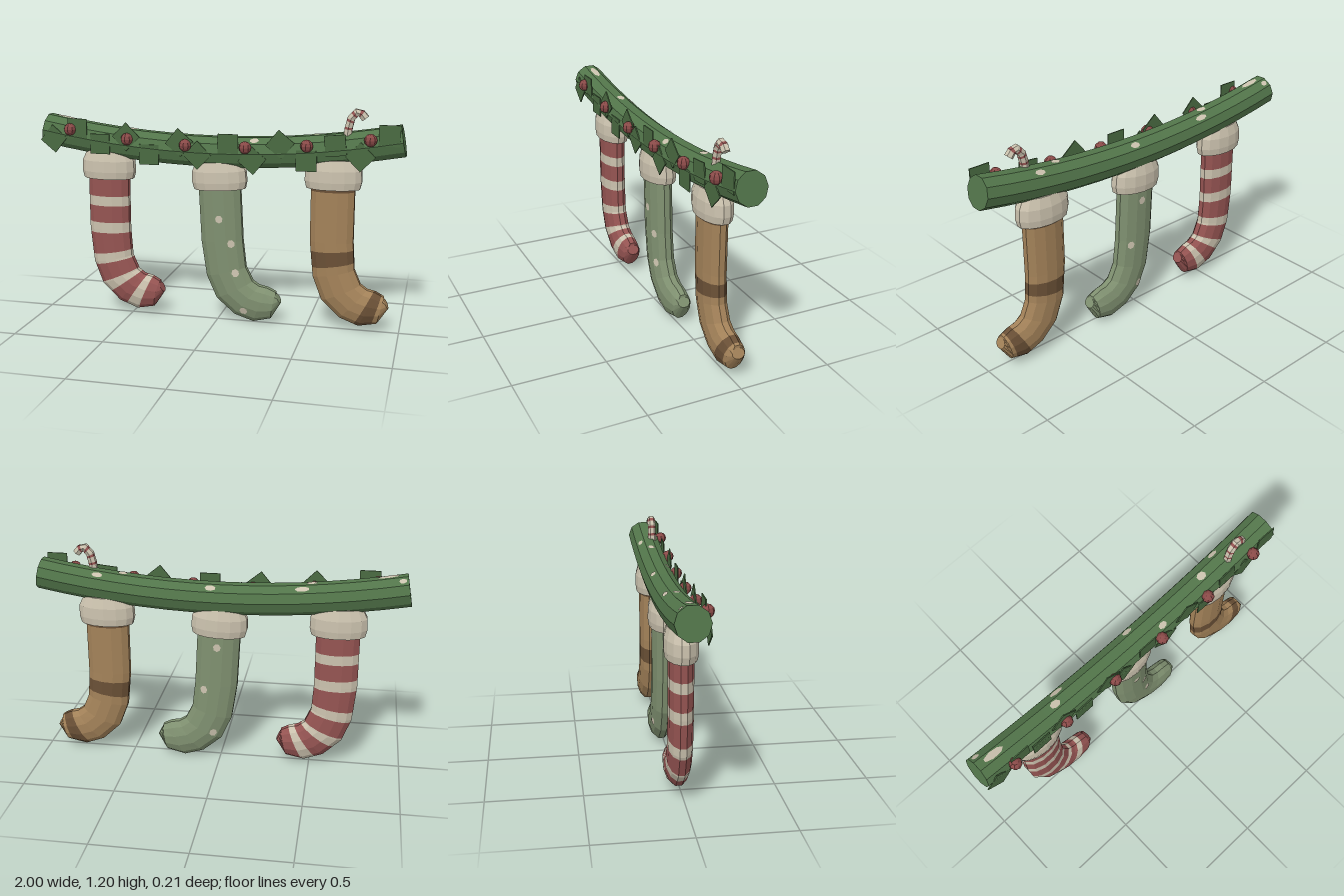
import * as THREE from 'three';

const mat = (name, color) => Object.assign(new THREE.MeshStandardMaterial({ color, flatShading: true }), { name });
const M = {
  green: mat('garland green', 0x52754a),
  leaf: mat('leaf green', 0x4a6b42),
  red: mat('faded red', 0x955452),
  berry: mat('berry red', 0x8a4a48),
  cream: mat('cream', 0xcbc2ae),
  sage: mat('sage', 0x7f9070),
  tan: mat('tan', 0xa38259),
  brown: mat('dark brown', 0x6a5036),
};
const Z = -0.02; // depth of the garland's centre line

// A ring is [outerX, outerY, innerX, innerY, halfDepth]; distance runs along ring centres.
function distances(rings) {
  const out = [0];
  for (let i = 1; i < rings.length; i++) {
    const [a, b] = [rings[i - 1], rings[i]];
    out.push(out[i - 1] + Math.hypot(b[0] + b[2] - a[0] - a[2], b[1] + b[3] - a[1] - a[3]) / 2);
  }
  return out;
}

function ringAt(rings, s) {
  const d = distances(rings);
  let i = 1;
  while (i < d.length - 1 && d[i] < s) i++;
  const k = (s - d[i - 1]) / (d[i] - d[i - 1]);
  return rings[i].map((v, j) => THREE.MathUtils.lerp(rings[i - 1][j], v, k));
}

function ringPoint([ox, oy, ix, iy, depth], a, z) {
  const c = Math.cos(a) / 2;
  return new THREE.Vector3((ox + ix) / 2 + c * (ix - ox), (oy + iy) / 2 + c * (iy - oy), z + Math.sin(a) * depth);
}

// Closed faceted skin through the rings; bands are [start, end] stretches in the second colour.
function loft(name, rings, sides, z, base, stripe = base, bands = []) {
  const cuts = [...new Set([...distances(rings), ...bands.flat()])].sort((a, b) => a - b);
  const loops = cuts.map(s => Array.from({ length: sides }, (_, k) =>
    ringPoint(ringAt(rings, s), ((k + 0.5) / sides) * Math.PI * 2, z)));
  const faces = [[], []];
  for (let i = 0; i < cuts.length - 1; i++) {
    const mid = (cuts[i] + cuts[i + 1]) / 2;
    const list = faces[bands.some(([a, b]) => mid > a && mid < b) ? 1 : 0];
    for (let k = 0; k < sides; k++) {
      const n = (k + 1) % sides;
      const [a, b, c, d] = [loops[i][k], loops[i][n], loops[i + 1][n], loops[i + 1][k]];
      list.push(a, b, c, a, c, d);
    }
  }
  const first = loops[0], last = loops[loops.length - 1];
  for (let k = 1; k < sides - 1; k++) {
    faces[0].push(first[0], first[k + 1], first[k], last[0], last[k], last[k + 1]);
  }
  const geo = new THREE.BufferGeometry().setFromPoints([...faces[0], ...faces[1]]);
  geo.addGroup(0, faces[0].length, 0);
  geo.addGroup(faces[0].length, faces[1].length, 1);
  geo.computeVertexNormals();
  const mesh = new THREE.Mesh(geo, [base, stripe]);
  mesh.name = name;
  return mesh;
}

// Thin patch lying on the middle of one facet.
function patch(name, rings, sides, z, s, facet, w, h, material) {
  const a = ((facet + 0.5) / sides) * Math.PI * 2, b = a + (Math.PI * 2) / sides;
  const mid = t => ringPoint(ringAt(rings, t), a, z).add(ringPoint(ringAt(rings, t), b, z)).multiplyScalar(0.5);
  const along = mid(s + 0.005).sub(mid(s - 0.005)).normalize();
  const r = ringAt(rings, s);
  const across = ringPoint(r, b, z).sub(ringPoint(r, a, z)).normalize();
  const normal = across.clone().cross(along).normalize();
  across.crossVectors(along, normal).normalize();
  const mesh = new THREE.Mesh(new THREE.CircleGeometry(1, 7), material);
  mesh.matrix.makeBasis(along.multiplyScalar(w), across.multiplyScalar(-h), normal)
    .setPosition(mid(s).addScaledVector(normal, 0.003));
  mesh.matrix.decompose(mesh.position, mesh.quaternion, mesh.scale);
  // keep the patch's front on the outside
  const x = new THREE.Vector3(1, 0, 0).applyQuaternion(mesh.quaternion);
  const y = new THREE.Vector3(0, 1, 0).applyQuaternion(mesh.quaternion);
  if (x.cross(y).dot(normal) < 0) mesh.rotateX(Math.PI);
  mesh.name = name;
  return mesh;
}

// Round tube rings along a flat curve.
function tubeRings(points, r) {
  return points.map(([x, y], i) => {
    const p = points[Math.max(i - 1, 0)], q = points[Math.min(i + 1, points.length - 1)];
    const l = Math.hypot(q[0] - p[0], q[1] - p[1]);
    const ux = (-(q[1] - p[1]) / l) * r, uy = ((q[0] - p[0]) / l) * r;
    return [x - ux, y - uy, x + ux, y + uy, r];
  });
}

// Measured from the bottom of the cuff
const STOCKING = [
  [-0.12, 0.06, 0.12, 0.06, 0.063], [-0.12, -0.29, 0.12, -0.29, 0.063],
  [-0.10, -0.49, 0.13, -0.44, 0.063], [-0.05, -0.62, 0.165, -0.52, 0.064],
  [0.05, -0.715, 0.2, -0.545, 0.064], [0.155, -0.755, 0.245, -0.555, 0.062],
  [0.255, -0.735, 0.29, -0.58, 0.055], [0.315, -0.645, 0.29, -0.595, 0.035],
];
const CUFF = [[0.08, 0.175], [0.125, 0.155], [0.152, 0.1], [0.155, 0.04], [0.145, 0]]
  .map(([r, y]) => [-r, y, r, y, r * 0.55]);

function stocking(name, x, y, tilt, base, stripe, bands) {
  const g = new THREE.Group();
  g.name = name;
  g.position.set(x, y, Z);
  g.rotation.z = tilt;
  g.add(loft('sock', STOCKING, 12, 0, base, stripe, bands), loft('cuff', CUFF, 14, 0, M.cream));
  return g;
}

export function createModel() {
  const model = new THREE.Group();
  model.name = 'stocking garland';

  // Sagging garland
  const sag = x => 0.962 + 0.098 * x * x;
  const path = Array.from({ length: 15 }, (_, i) => -0.985 + (i / 14) * 1.97).map(x => [x, sag(x)]);
  const garland = tubeRings(path, 0.086);
  model.add(loft('garland', garland, 10, Z, M.green));

  // Snow patches: distance along, facet, half length, half width
  for (const [s, f, w, h] of [[0.1, 9, 0.06, 0.02], [0.03, 8, 0.02, 0.015], [0.5, 9, 0.03, 0.02],
    [0.55, 8, 0.04, 0.016], [1.04, 8, 0.03, 0.018], [1.53, 9, 0.028, 0.022], [1.66, 8, 0.03, 0.016],
    [1.2, 0, 0.025, 0.018]]) {
    model.add(patch('snow patch', garland, 10, Z, s, f, w, h, M.cream));
  }

  // Square leaf plates along the front
  const D = Math.PI / 4;
  for (const [x, y, a] of [[-0.78, 1.07, 0], [-0.5, 1.035, D], [-0.2, 1.015, D + 0.1], [0.07, 1.015, 0],
    [0.35, 1.025, D + 0.1], [0.64, 1.03, 0.1], [0.915, 1.09, 0], [-0.92, 1.01, D + 0.1], [-0.65, 0.99, 0],
    [-0.37, 0.942, 0], [-0.1, 0.95, D], [0.2, 0.935, D + 0.1], [0.49, 0.943, 0], [0.77, 0.975, D]]) {
    const leaf = new THREE.Mesh(new THREE.BoxGeometry(0.11, 0.11, 0.006), M.leaf);
    leaf.name = 'leaf';
    leaf.position.set(x, y, 0.062);
    leaf.rotation.z = a;
    model.add(leaf);
  }

  // Berries
  for (let i = 0; i < 6; i++) {
    const x = -0.82 + i * 0.328;
    const berry = new THREE.Mesh(new THREE.SphereGeometry(0.034, 8, 6), M.berry);
    berry.name = 'berry';
    berry.position.set(x, sag(x) + 0.038, 0.072);
    model.add(berry);
  }

  // Candy cane poking out of the top
  const cane = tubeRings([[0.69, 1.03], [0.7, 1.12], [0.712, 1.168], [0.74, 1.2], [0.765, 1.192], [0.785, 1.168]], 0.023);
  model.add(loft('candy cane', cane, 6, 0.005, M.cream, M.red,
    [[0.08, 0.092], [0.12, 0.132], [0.16, 0.172], [0.2, 0.212]]));

  // Three stockings
  model.add(stocking('striped stocking', -0.63, 0.79, 0, M.red, M.cream,
    [[0.16, 0.215], [0.31, 0.37], [0.485, 0.54], [0.63, 0.68], [0.76, 0.815]]));
  model.add(stocking('banded stocking', 0.625, 0.79, 0, M.tan, M.brown,
    [[0.06, 0.075], [0.4, 0.48], [0.79, 0.86]]));
  const spotted = stocking('spotted stocking', 0.008, 0.758, 0.05, M.sage);
  for (const [s, f] of [[0.22, 2], [0.36, 1], [0.54, 1], [0.75, 3], [0.12, 8], [0.38, 9], [0.62, 7]]) {
    spotted.add(patch('spot', STOCKING, 12, 0, s, f, 0.023, 0.021, M.cream));
  }
  model.add(spotted);
  return model;
}
